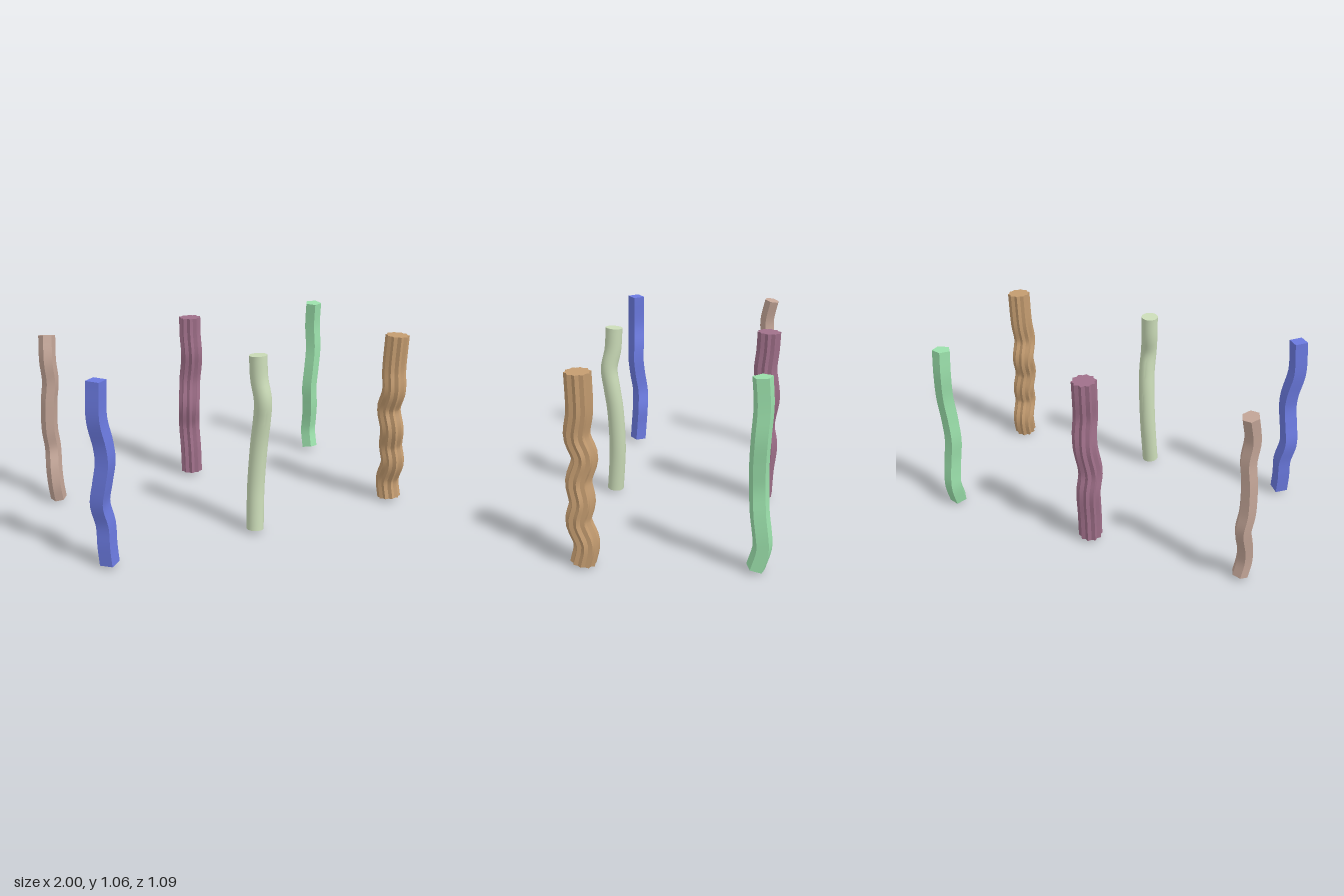
import * as THREE from 'three';
import { toCreasedNormals } from 'three/addons/utils/BufferGeometryUtils.js';

const STEPS = 36;

// Sweep a cross-section (list of radii around the axis) along a wavy upright path.
function wavyColumn(name, color, radii, phase, path) {
  const curve = new THREE.CatmullRomCurve3(path.map(p => new THREE.Vector3(p[1], p[0], p[2])));
  const up = new THREE.Vector3(0, 1, 0), n = radii.length;
  const q = new THREE.Quaternion(), pos = [], idx = [];
  for (let j = 0; j <= STEPS; j++) {
    const c = curve.getPointAt(j / STEPS);
    q.setFromUnitVectors(up, curve.getTangentAt(j / STEPS));
    radii.forEach((r, i) => {
      const a = phase + (i / n) * Math.PI * 2;
      const p = new THREE.Vector3(Math.cos(a) * r, 0, Math.sin(a) * r).applyQuaternion(q).add(c);
      pos.push(p.x, p.y, p.z);
    });
  }
  const bottom = pos.length / 3, top = bottom + 1, last = STEPS * n;
  pos.push(...curve.getPoint(0).toArray(), ...curve.getPoint(1).toArray());
  for (let i = 0; i < n; i++) {
    const k = (i + 1) % n;
    for (let j = 0; j < STEPS; j++) {
      const a = j * n + i, b = j * n + k;
      idx.push(a, a + n, b, b, a + n, b + n);
    }
    // end caps
    idx.push(bottom, i, k, top, last + k, last + i);
  }
  const geo = new THREE.BufferGeometry();
  geo.setAttribute('position', new THREE.Float32BufferAttribute(pos, 3));
  geo.setIndex(idx);
  const mesh = new THREE.Mesh(toCreasedNormals(geo, 0.5), new THREE.MeshStandardMaterial({ color }));
  mesh.name = name;
  return mesh;
}

// Cross-sections: plain polygon and fluted star
const polygon = (sides, r) => Array(sides).fill(r);
const fluted = (lobes, outer, inner) => Array.from({ length: lobes * 2 }, (_, i) => (i % 2 ? inner : outer));

export function createModel() {
  const group = new THREE.Group();
  group.name = 'wavyColumns';
  // path points are [height, x, z], from foot to top
  group.add(
    wavyColumn('squareColumn', 0x6b7ae0, polygon(4, 0.055), 0.08, [
      [0.02, -0.92, 0.464], [0.13, -0.925, 0.455], [0.25, -0.924, 0.445], [0.38, -0.95, 0.446],
      [0.5, -0.935, 0.46], [0.62, -0.917, 0.468], [0.71, -0.922, 0.465], [0.86, -0.95, 0.466], [1.06, -0.94, 0.46]]),
    wavyColumn('hexagonalColumn', 0xc4a698, polygon(6, 0.049), 0.2, [
      [0.02, -0.929, -0.445], [0.12, -0.943, -0.432], [0.22, -0.944, -0.444], [0.35, -0.933, -0.478],
      [0.47, -0.946, -0.47], [0.65, -0.94, -0.463], [0.78, -0.924, -0.458], [0.91, -0.934, -0.449], [1.055, -0.92, -0.478]]),
    wavyColumn('roundColumn', 0xcbdcb8, polygon(24, 0.05), 0, [
      [0.02, -0.03, 0.467], [0.15, -0.024, 0.455], [0.3, -0.016, 0.445], [0.55, -0.002, 0.45],
      [0.69, 0.004, 0.466], [0.81, 0, 0.48], [0.93, -0.012, 0.456], [1.06, -0.015, 0.446]]),
    wavyColumn('flutedBackColumn', 0xa0708a, fluted(10, 0.07, 0.058), 0.1, [
      [0.02, -0.01, -0.448], [0.18, -0.011, -0.456], [0.35, -0.014, -0.472], [0.47, -0.02, -0.453],
      [0.65, -0.002, -0.478], [0.75, 0.005, -0.468], [0.83, 0.003, -0.456], [0.95, -0.001, -0.467], [1.06, 0, -0.472]]),
    wavyColumn('flutedFrontColumn', 0xc49c70, fluted(10, 0.07, 0.059), 0, [
      [0.015, 0.928, 0.467], [0.13, 0.924, 0.444], [0.26, 0.924, 0.483], [0.36, 0.918, 0.46],
      [0.475, 0.905, 0.478], [0.6, 0.898, 0.443], [0.72, 0.898, 0.479], [0.85, 0.903, 0.46], [1.06, 0.91, 0.459]]),
    wavyColumn('pentagonalColumn', 0x9be0ab, polygon(5, 0.054), 0.6, [
      [0.02, 0.91, -0.443], [0.14, 0.912, -0.475], [0.22, 0.913, -0.47], [0.33, 0.907, -0.456],
      [0.47, 0.893, -0.449], [0.6, 0.902, -0.447], [0.75, 0.915, -0.453], [0.91, 0.908, -0.462], [1.06, 0.905, -0.452]]),
  );
  return group;
}
